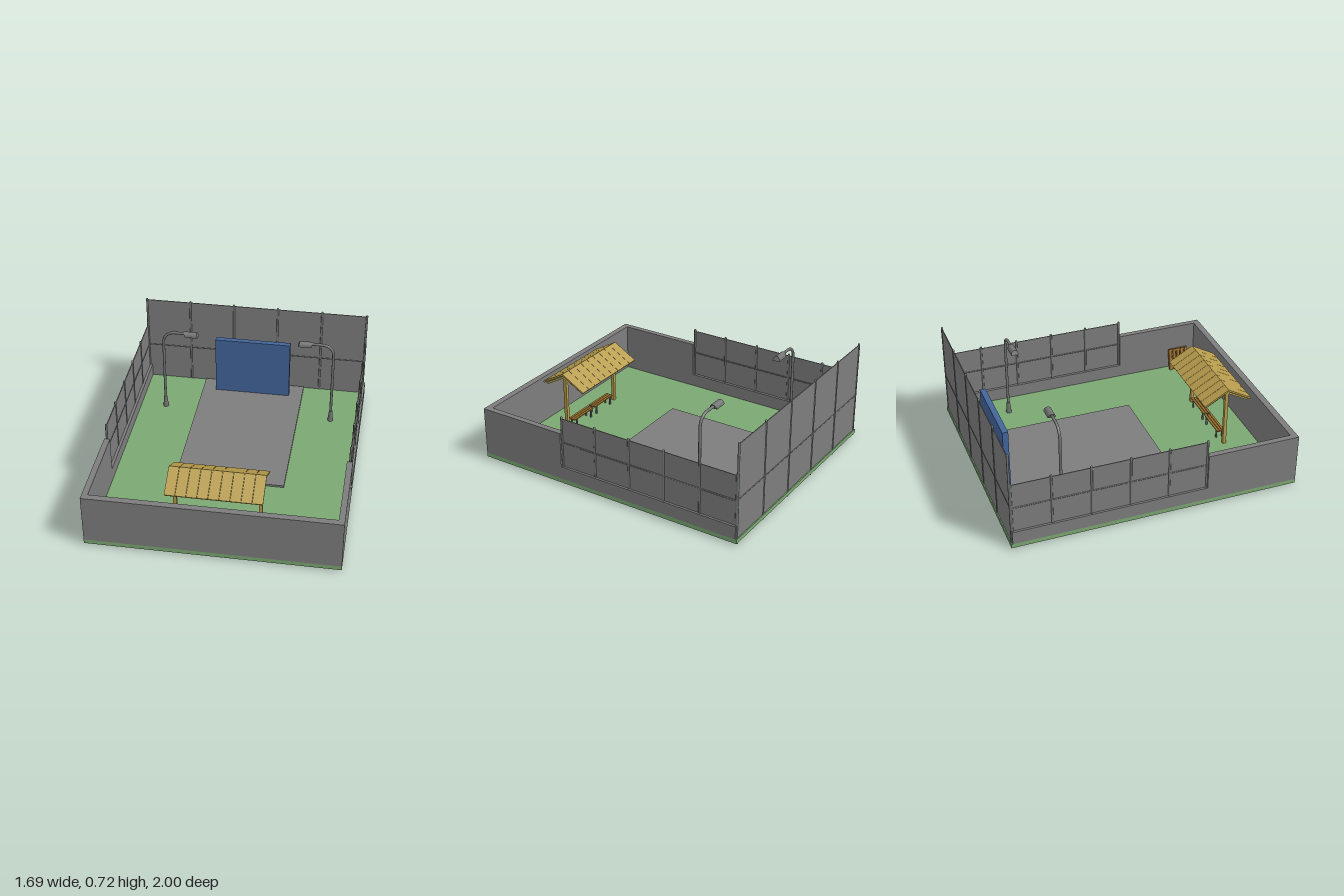
import * as THREE from 'three';

const mat = (name, color) => {
  const m = new THREE.MeshStandardMaterial({ color });
  m.name = name;
  return m;
};

export function createModel() {
  const grey = mat('concrete grey', 0x7c7d7c);
  const steel = mat('steel grey', 0x717473);
  const green = mat('grass green', 0x7ba872);
  const blue = mat('board blue', 0x43659b);
  const wood = mat('yellow wood', 0xb79c4c);
  const brown = mat('brown wood', 0x9c7230);

  const root = new THREE.Group();
  root.name = 'sportsYard';

  const mesh = (parent, name, geo, material, x = 0, y = 0, z = 0) => {
    const m = new THREE.Mesh(geo, material);
    m.name = name;
    m.position.set(x, y, z);
    parent.add(m);
    return m;
  };
  // Box given by its lower and upper limits on each axis
  const box = (parent, name, material, x0, x1, y0, y1, z0, z1) =>
    mesh(parent, name, new THREE.BoxGeometry(x1 - x0, y1 - y0, z1 - z0), material,
      (x0 + x1) / 2, (y0 + y1) / 2, (z0 + z1) / 2);
  const group = (name, x = 0, y = 0, z = 0) => {
    const g = new THREE.Group();
    g.name = name;
    g.position.set(x, y, z);
    root.add(g);
    return g;
  };
  // Round upright post with a domed top
  const post = (parent, x, z, y0, y1, r = 0.008) => {
    mesh(parent, 'fencePost', new THREE.CylinderGeometry(r, r, y1 - y0 - r, 12), steel, x, (y0 + y1 - r) / 2, z);
    mesh(parent, 'postCap', new THREE.SphereGeometry(r, 12, 4, 0, Math.PI * 2, 0, Math.PI / 2), steel, x, y1 - r, z);
  };

  // Ground, court and board
  box(root, 'lawn', green, -0.845, 0.845, 0.01, 0.04, -1, 1);
  box(root, 'court', grey, -0.38, 0.38, 0.04, 0.055, -0.975, 0.26);
  box(root, 'blueBoard', blue, -0.28, 0.28, 0.055, 0.5, -0.875, -0.835);

  // Walls: tall around the front, low beneath the side fences
  box(root, 'frontWall', grey, -0.845, 0.845, 0.04, 0.385, 0.955, 1);
  for (const s of [-1, 1]) {
    const a = Math.min(s * 0.805, s * 0.845), b = Math.max(s * 0.805, s * 0.845);
    box(root, 'tallSideWall', grey, a, b, 0.04, 0.385, 0.35, 0.955);
    box(root, 'lowSideWall', grey, a, b, 0.04, 0.133, -0.99, 0.35);
  }

  // Back fence
  const backFence = group('backFence');
  box(backFence, 'fencePanel', grey, -0.83, 0.83, 0.035, 0.71, -0.993, -0.987);
  for (let i = 0; i < 6; i++) post(backFence, -0.825 + i * 0.33, -0.99, 0, 0.722);
  const backRail = mesh(backFence, 'fenceRail', new THREE.CylinderGeometry(0.006, 0.006, 1.65, 10), steel, 0, 0.32, -0.99);
  backRail.rotation.z = Math.PI / 2;

  // Side fences
  for (const s of [-1, 1]) {
    const fence = group('sideFence', s * 0.827);
    box(fence, 'fencePanel', grey, -0.003, 0.003, 0.133, 0.49, -0.985, 0.345);
    for (let i = 0; i < 6; i++) post(fence, 0, 0.345 - i * 0.266, 0.133, 0.505);
    const rail = mesh(fence, 'fenceRail', new THREE.CylinderGeometry(0.006, 0.006, 1.33, 10), steel, 0, 0.312, -0.32);
    rail.rotation.x = Math.PI / 2;
  }

  // Street lamps, arms reaching over the court
  const pole = new THREE.CurvePath();
  const v = (x, y) => new THREE.Vector3(x, y, 0);
  pole.add(new THREE.LineCurve3(v(0, 0.04), v(0, 0.6)));
  pole.add(new THREE.CubicBezierCurve3(v(0, 0.6), v(0, 0.65), v(-0.035, 0.685), v(-0.085, 0.685)));
  pole.add(new THREE.LineCurve3(v(-0.085, 0.685), v(-0.165, 0.685)));
  const dome = new THREE.Shape();
  dome.absellipse(0, 0, 0.026, 0.032, 0, Math.PI, false);
  dome.closePath();
  const headGeo = new THREE.ExtrudeGeometry(dome, { depth: 0.095, bevelEnabled: false, curveSegments: 16 });
  headGeo.rotateY(-Math.PI / 2);
  // Lean the ends of the head so its underside reaches further inwards
  const hp = headGeo.attributes.position;
  for (let i = 0; i < hp.count; i++) hp.setX(i, hp.getX(i) + hp.getY(i) * 0.4);
  headGeo.computeVertexNormals();
  for (const s of [-1, 1]) {
    const lamp = group('streetLamp', s * 0.62, 0, -0.59);
    if (s < 0) lamp.rotation.y = Math.PI;
    mesh(lamp, 'lampPole', new THREE.TubeGeometry(pole, 60, 0.01, 12), steel);
    mesh(lamp, 'lampFoot', new THREE.CylinderGeometry(0.012, 0.02, 0.085, 16), steel, 0, 0.0825, 0);
    mesh(lamp, 'lampHead', headGeo, steel, -0.162, 0.668, 0);
  }

  // Shelter with a plank gable roof
  const shelter = group('shelter', 0, 0, 0.725);
  const slope = Math.atan2(0.1, 0.175), len = Math.hypot(0.1, 0.175);
  for (const s of [-1, 1]) {
    const side = new THREE.Group();
    side.name = 'roofSide';
    side.position.set(0, 0.5, 0);
    side.rotation.x = s * slope;
    shelter.add(side);
    const part = (name, m, x0, x1, y0, y1, l) =>
      box(side, name, m, x0, x1, y0, y1, Math.min(0, s * l), Math.max(0, s * l));
    for (let i = 0; i < 9; i++) {
      const x = -0.32 + i * 0.0711;
      part('roofPlank', wood, x + 0.001, x + 0.0701, -0.012, 0, len);
    }
    part('roofLining', green, -0.305, 0.305, -0.02, -0.012, len - 0.004);
    for (const x of [-0.285, 0.285]) part('rafter', wood, x - 0.012, x + 0.012, -0.034, -0.02, len - 0.008);
  }
  for (const x of [-0.285, 0.285]) box(shelter, 'shelterPost', wood, x - 0.012, x + 0.012, 0.04, 0.47, -0.012, 0.012);

  // Two slatted benches under the shelter
  for (const s of [-1, 1]) {
    const bench = group('bench', s * 0.12, 0, 0.725);
    for (let i = -1; i <= 1; i++) box(bench, 'benchSlat', brown, -0.112, 0.112, 0.1, 0.108, i * 0.02 - 0.008, i * 0.02 + 0.008);
    for (const x of [-0.085, 0.085]) {
      box(bench, 'benchBearer', steel, x - 0.005, x + 0.005, 0.092, 0.1, -0.028, 0.028);
      for (const z of [-0.022, 0.022]) box(bench, 'benchLeg', steel, x - 0.005, x + 0.005, 0.04, 0.092, z - 0.005, z + 0.005);
    }
  }

  // Pallet leaning on the side wall
  const pallet = group('pallet', 0.752, 0.043, 0.815);
  pallet.rotation.z = -0.2;
  for (let i = 0; i < 5; i++) {
    const z = -0.064 + i * 0.032;
    for (const x of [-0.009, 0.009]) box(pallet, 'palletBoard', brown, x - 0.003, x + 0.003, 0, 0.165, z - 0.011, z + 0.011);
  }
  for (const y of [0.012, 0.0825, 0.153]) box(pallet, 'palletBearer', brown, -0.006, 0.006, y - 0.009, y + 0.009, -0.075, 0.075);

  return root;
}
